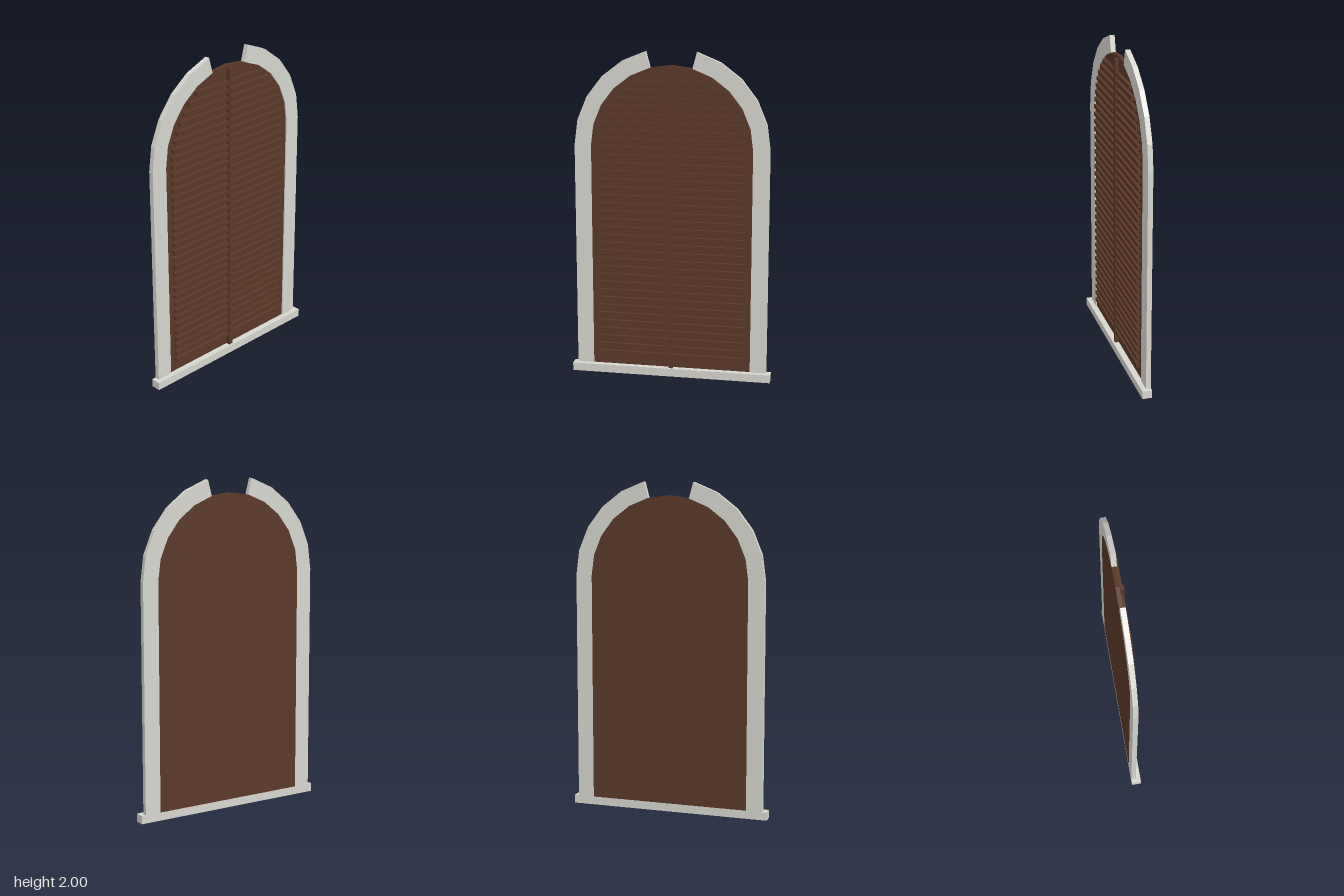
import * as THREE from 'three';

const stone = new THREE.MeshStandardMaterial({ color: 0xd6d5cf, flatShading: true });
const wood = new THREE.MeshStandardMaterial({ color: 0x5a3828, flatShading: true });

const SPRING = 1.43, INNER = 0.49, OUTER = 0.59, SILL = 0.05, BACK = -0.03;
const STEP = Math.PI / 12;

// Point on the faceted arch, i steps of 15 degrees up from the right spring line
const archPoint = (r, i) =>
  new THREE.Vector2(r * Math.cos(i * STEP), SPRING + r * Math.sin(i * STEP));

function extrude(points, depth) {
  const geo = new THREE.ExtrudeGeometry(new THREE.Shape(points), { depth, bevelEnabled: false });
  return geo.translate(0, 0, BACK);
}

function add(parent, name, geo, material) {
  const mesh = new THREE.Mesh(geo, material);
  mesh.name = name;
  parent.add(mesh);
  return mesh;
}

function box(x0, x1, y0, y1, z0, z1) {
  return new THREE.BoxGeometry(x1 - x0, y1 - y0, z1 - z0)
    .translate((x0 + x1) / 2, (y0 + y1) / 2, (z0 + z1) / 2);
}

export function createModel() {
  const group = new THREE.Group();
  group.name = 'archedShutterWindow';

  // Sill
  add(group, 'sill', box(-0.617, 0.617, 0, SILL, BACK, 0.03), stone);

  // Two halves of the surround, stopping short of the crown
  for (const side of [1, -1]) {
    const pts = [new THREE.Vector2(INNER, SILL), new THREE.Vector2(OUTER, SILL)];
    for (let i = 0; i <= 5; i++) pts.push(archPoint(OUTER, i));
    for (let i = 5; i >= 0; i--) pts.push(archPoint(INNER, i));
    pts.forEach((p) => { p.x *= side; });
    add(group, side > 0 ? 'leftSurround' : 'rightSurround', extrude(pts, 0.03), stone);
  }

  // Arched backing panel
  const panel = [new THREE.Vector2(-INNER, SILL), new THREE.Vector2(INNER, SILL)];
  for (let i = 0; i <= 12; i++) panel.push(archPoint(INNER, i));
  add(group, 'shutterPanel', extrude(panel, 0.023), wood);

  // Centre strip where the shutters meet
  add(group, 'centreStrip', box(-0.013, 0.013, SILL, 1.905, -0.007, 0.018), wood);

  // Louvre slats, shortened to follow the arch
  const slats = new THREE.Group();
  slats.name = 'slats';
  group.add(slats);
  for (let i = 0; i < 35; i++) {
    const y = 0.127 + i * 0.0497;
    const rise = Math.max(0, y - SPRING);
    const end = Math.sqrt(INNER * INNER - rise * rise) - 0.04;
    for (const side of [1, -1]) {
      const x0 = side > 0 ? 0.013 : -end, x1 = side > 0 ? end : -0.013;
      add(slats, 'slat', box(x0, x1, y - 0.012, y + 0.012, -0.007, 0.014), wood);
    }
  }
  return group;
}
